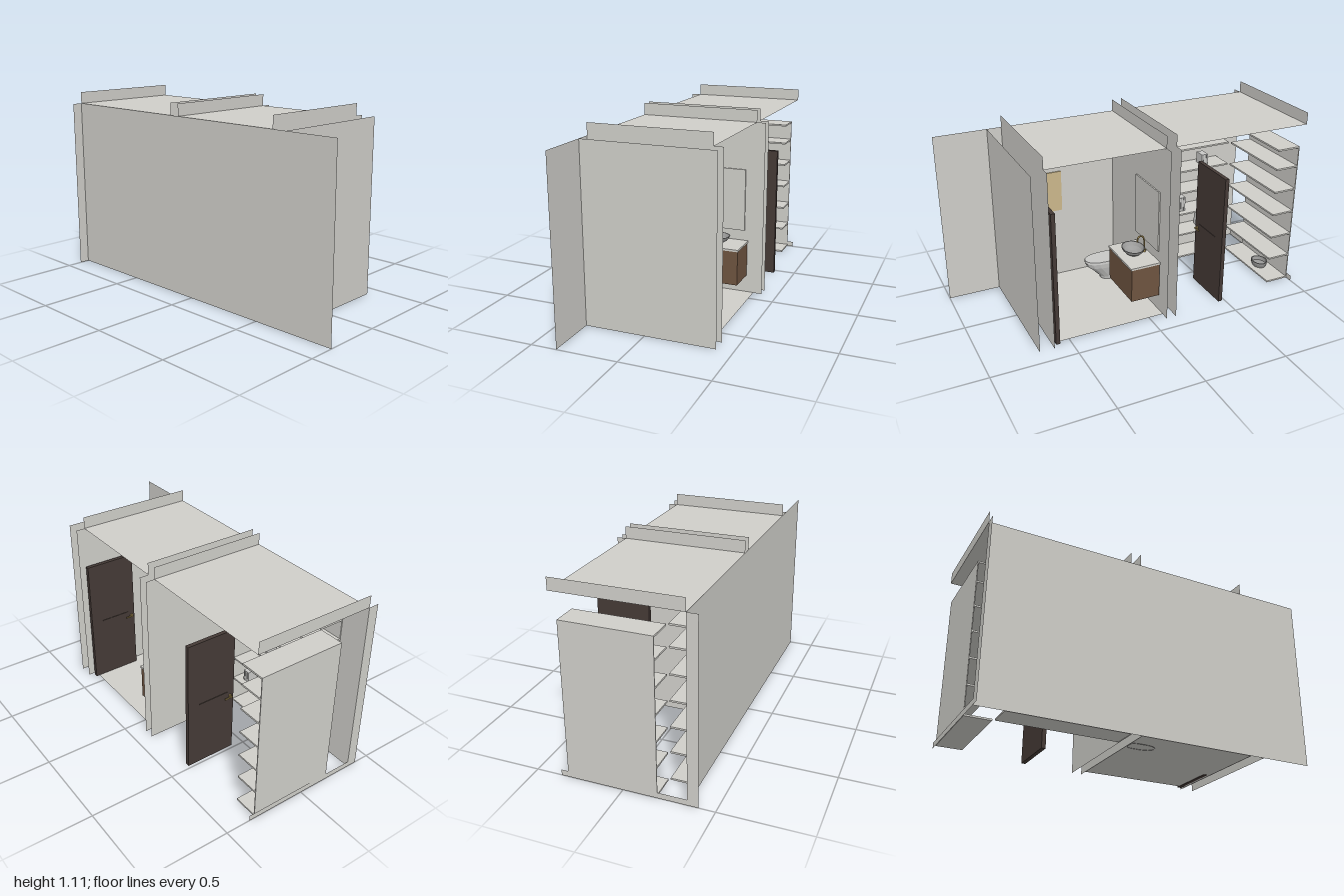
import * as THREE from 'three';

const mat = (name, color, extra = {}) => {
  const m = new THREE.MeshStandardMaterial({ color, ...extra });
  m.name = name;
  return m;
};

export function createModel() {
  const root = new THREE.Group();
  root.name = 'bathroomAndCloset';

  const plaster = mat('plaster', 0xcfcec9, { side: THREE.DoubleSide });
  const doorWood = mat('darkDoorWood', 0x453a36);
  const vanityWood = mat('vanityWood', 0x6e5440);
  const gold = mat('gold', 0xa08850);
  const tan = mat('tanPanel', 0xcbb78c);
  const ceramic = mat('ceramic', 0xc8c8c6, { flatShading: true, side: THREE.DoubleSide });
  const stone = mat('stoneGrey', 0x9c9c9b, { flatShading: true, side: THREE.DoubleSide });

  const add = (parent, name, geo, material) => {
    const m = new THREE.Mesh(geo, material);
    m.name = name;
    parent.add(m);
    return m;
  };
  // Box given by its two opposite corners
  const box = (parent, name, material, x0, x1, y0, y1, z0, z1) => {
    const m = add(parent, name, new THREE.BoxGeometry(x1 - x0, y1 - y0, z1 - z0), material);
    m.position.set((x0 + x1) / 2, (y0 + y1) / 2, (z0 + z1) / 2);
    return m;
  };
  // Thin upright sheet facing z
  const sheetZ = (name, x0, x1, y0, y1, z) => {
    const m = add(root, name, new THREE.PlaneGeometry(x1 - x0, y1 - y0), plaster);
    m.position.set((x0 + x1) / 2, (y0 + y1) / 2, z);
  };
  // Level sheet
  const sheetY = (name, x0, x1, y, z0, z1, dir) => {
    const m = add(root, name, new THREE.PlaneGeometry(x1 - x0, z1 - z0), plaster);
    m.rotation.x = dir * Math.PI / 2;
    m.position.set((x0 + x1) / 2, y, (z0 + z1) / 2);
  };

  // Shell: long side wall, cross walls and the bands above the ceiling
  const L = -0.35, R = 0.355, TOP = 1.04;
  const side = add(root, 'longSideWall', new THREE.PlaneGeometry(2, TOP), plaster);
  side.rotation.y = Math.PI / 2;
  side.position.set(L, TOP / 2, 0);
  for (const z of [0.69, 0.605, -0.09, -0.15]) sheetZ('crossWall', L, 0.407, 0, TOP, z);
  for (const z of [0.605, -0.09, -0.15, -1]) sheetZ('upperBand', L, R, TOP, 1.11, z);
  sheetZ('backWallStrip', -0.41, L, 0, TOP, -1);
  sheetZ('backWallSill', L, R, 0, 0.033, -1);
  sheetY('bathroomCeiling', L, R, TOP, -0.09, 0.605, -1);
  sheetY('closetCeiling', L, R, TOP, -1, -0.15, -1);
  sheetY('bathroomFloor', L, R, 0.002, -0.09, 0.605, -1);

  // Closet shelving along the side wall and the back
  const shelves = new THREE.Group();
  shelves.name = 'shelving';
  root.add(shelves);
  for (const y of [0.009, 0.172, 0.32, 0.472, 0.62, 0.767, 0.888]) {
    box(shelves, 'sideShelf', plaster, -0.345, -0.195, y - 0.005, y + 0.005, -0.838, -0.152);
    box(shelves, 'backShelf', plaster, -0.187, 0.318, y - 0.005, y + 0.005, -0.99, -0.848);
  }
  box(shelves, 'sideShelfBacking', plaster, -0.348, -0.343, 0.004, 0.893, -0.838, -0.152);
  box(shelves, 'backShelfBacking', plaster, -0.187, 0.318, 0.004, 0.893, -0.995, -0.99);

  // Ribbed containers standing on the side shelves: z, base height, height
  for (const [z, y, h] of [[-0.225, 0.625, 0.093], [-0.38, 0.477, 0.09], [-0.535, 0.325, 0.095],
    [-0.225, 0.177, 0.07], [-0.69, 0.625, 0.07], [-0.69, 0.177, 0.093]]) {
    box(shelves, 'container', ceramic, -0.305, -0.235, y, y + h, z - 0.022, z + 0.022);
    for (const dz of [-0.01, 0.01])
      box(shelves, 'containerRib', stone, -0.236, -0.232, y + 0.004, y + h - 0.004, z + dz - 0.002, z + dz + 0.002);
  }

  // Low oval tray on the bottom back shelf
  const tray = add(root, 'floorTray', new THREE.LatheGeometry(
    [[0, 0], [0.8, 0], [0.95, 0.02], [1, 0.036], [0.88, 0.036], [0.8, 0.012], [0, 0.012]]
      .map(p => new THREE.Vector2(...p)), 20), stone);
  tray.scale.set(0.06, 1, 0.048);
  tray.position.set(0.12, 0.014, -0.92);

  // Doors with lever handles on both faces
  for (const z of [0.573, -0.47]) {
    const door = new THREE.Group();
    door.name = 'door';
    door.position.z = z;
    root.add(door);
    box(door, 'doorLeaf', doorWood, 0.07, 0.375, 0, 0.8, -0.012, 0.012);
    for (const s of [-1, 1]) {
      box(door, 'doorRail', doorWood, 0.11, 0.3, 0.4, 0.405, s * 0.013 - 0.002, s * 0.013 + 0.002);
      const rose = add(door, 'handleRose', new THREE.CylinderGeometry(0.01, 0.01, 0.006, 16), gold);
      rose.rotation.x = Math.PI / 2;
      rose.position.set(0.092, 0.372, s * 0.015);
      const stem = add(door, 'handleStem', new THREE.CylinderGeometry(0.004, 0.004, 0.016, 10), gold);
      stem.rotation.x = Math.PI / 2;
      stem.position.set(0.092, 0.372, s * 0.022);
      box(door, 'handleLever', gold, 0.088, 0.138, 0.368, 0.376, s * 0.028 - 0.003, s * 0.028 + 0.003);
    }
  }

  // Mirror on the dividing wall and tan panel on the long wall
  box(root, 'mirror', plaster, 0, 0.295, 0.39, 0.76, -0.088, -0.08);
  box(root, 'wallPanel', tan, -0.349, -0.342, 0.45, 0.708, 0.257, 0.514);

  // Vanity with counter
  box(root, 'vanityCabinet', vanityWood, 0.004, 0.312, 0.11, 0.316, -0.085, 0.093);
  box(root, 'vanityCounter', plaster, 0, 0.316, 0.316, 0.328, -0.087, 0.098);

  // Vessel basin
  const basin = add(root, 'basin', new THREE.LatheGeometry(
    [[0, 0], [0.4, 0], [0.7, 0.015], [0.9, 0.03], [1, 0.046], [0.94, 0.046], [0.75, 0.024], [0.4, 0.01], [0, 0.008]]
      .map(p => new THREE.Vector2(...p)), 24), stone);
  basin.scale.set(0.08, 1, 0.066);
  basin.position.set(0.155, 0.328, 0.01);

  // Gooseneck tap
  const neck = new THREE.CatmullRomCurve3([[0.328, -0.062], [0.4, -0.062], [0.427, -0.053],
    [0.434, -0.038], [0.427, -0.023], [0.4, -0.016]].map(([y, z]) => new THREE.Vector3(0.155, y, z)));
  add(root, 'tap', new THREE.TubeGeometry(neck, 28, 0.005, 8), gold);
  const tapBase = add(root, 'tapBase', new THREE.CylinderGeometry(0.009, 0.01, 0.012, 12), gold);
  tapBase.position.set(0.155, 0.334, -0.062);
  box(root, 'tapLever', gold, 0.155, 0.18, 0.347, 0.352, -0.065, -0.059);

  // Toilet: rings of height, back z, front z and half width
  const rings = [[0, -0.085, 0.07, 0.042], [0.02, -0.085, 0.078, 0.045], [0.06, -0.085, 0.115, 0.056],
    [0.1, -0.085, 0.16, 0.066], [0.13, -0.085, 0.176, 0.07], [0.145, -0.085, 0.174, 0.068]];
  const n = 16, pos = [], idx = [];
  for (const [y, zb, zf, w] of rings) {
    for (let i = 0; i < n; i++) {
      const a = i / n * Math.PI * 2, c = Math.cos(a), s = Math.sin(a);
      const k = c < 0 ? 0.45 : 0.9; // squarer towards the wall
      const zc = (zb + zf) / 2, half = (zf - zb) / 2;
      pos.push(Math.sign(s) * Math.abs(s) ** k * w, y, zc + Math.sign(c) * Math.abs(c) ** k * half);
    }
  }
  for (let r = 0; r < rings.length - 1; r++)
    for (let i = 0; i < n; i++) {
      const a = r * n + i, b = r * n + (i + 1) % n;
      idx.push(a, b, b + n, a, b + n, a + n);
    }
  const last = (rings.length - 1) * n;
  for (let i = 1; i < n - 1; i++) idx.push(last, last + i, last + i + 1);
  const geo = new THREE.BufferGeometry();
  geo.setAttribute('position', new THREE.Float32BufferAttribute(pos, 3));
  geo.setIndex(idx);
  geo.computeVertexNormals();
  add(root, 'toilet', geo, ceramic).position.x = -0.19;

  return root;
}
